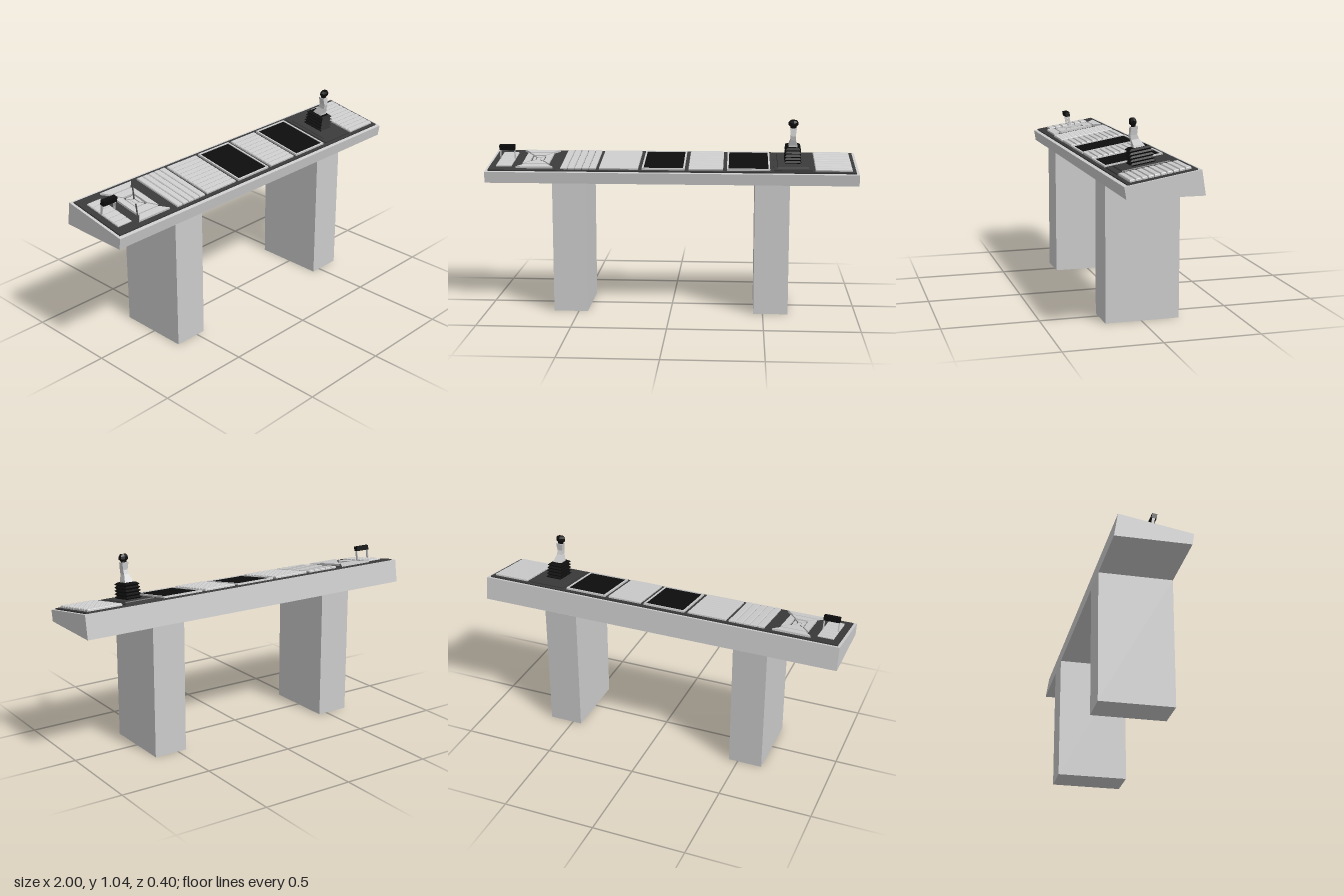
import * as THREE from 'three';

const mat = (color) => new THREE.MeshStandardMaterial({ color, flatShading: true });
const grey = mat(0xcccccc), dark = mat(0x3a3a3a), black = mat(0x0d0d0d);

function add(parent, name, geometry, material, x = 0, y = 0, z = 0) {
  const m = new THREE.Mesh(geometry, material);
  m.name = name;
  m.position.set(x, y, z);
  parent.add(m);
  return m;
}

// Closed loft through rectangular sections [y, halfX, halfZ, centreZ]
function loft(sections) {
  const rings = sections.map(([y, hx, hz, cz = 0]) =>
    [[hx, y, cz + hz], [hx, y, cz - hz], [-hx, y, cz - hz], [-hx, y, cz + hz]]);
  const p = [];
  const quad = (a, b, c, d) => p.push(...a, ...b, ...c, ...a, ...c, ...d);
  for (let k = 0; k < rings.length - 1; k++) {
    for (let i = 0; i < 4; i++) {
      const j = (i + 1) % 4;
      quad(rings[k][i], rings[k][j], rings[k + 1][j], rings[k + 1][i]);
    }
  }
  const [a, b, c, d] = rings[0];
  quad(d, c, b, a);
  quad(...rings[rings.length - 1]);
  const g = new THREE.BufferGeometry();
  g.setAttribute('position', new THREE.Float32BufferAttribute(p, 3));
  g.computeVertexNormals();
  return g;
}

// Flat slab from [x, z] corners, with an optional hole
function slab(points, height, hole) {
  const v = (list) => list.map(([x, z]) => new THREE.Vector2(x, -z));
  const s = new THREE.Shape(v(points));
  if (hole) s.holes.push(new THREE.Path(v(hole)));
  return new THREE.ExtrudeGeometry(s, { depth: height, bevelEnabled: false }).rotateX(-Math.PI / 2);
}
const rect = (hx, hz) => [[-hx, -hz], [-hx, hz], [hx, hz], [hx, -hz]];

// Rows of chamfered keys filling a rectangle, along x or along z
function keyBank(parent, name, x0, x1, z0, z1, count, alongX = true, top = 0.019) {
  const bank = new THREE.Group();
  bank.name = name;
  parent.add(bank);
  const pitch = (alongX ? z1 - z0 : x1 - x0) / count;
  const hx = alongX ? (x1 - x0) / 2 : pitch / 2 - 0.002;
  const hz = alongX ? pitch / 2 - 0.002 : (z1 - z0) / 2;
  const geo = loft([[0, hx, hz], [top - 0.004, hx, hz], [top, hx - 0.003, hz - 0.003]]);
  for (let i = 0; i < count; i++) {
    const t = (i + 0.5) * pitch;
    add(bank, 'key', geo, grey, alongX ? (x0 + x1) / 2 : x0 + t, 0, alongX ? z0 + t : (z0 + z1) / 2);
  }
}

// Black display in a thin raised frame
function screen(parent, x0, x1) {
  const g = new THREE.Group();
  g.name = 'screen';
  g.position.set((x0 + x1) / 2, 0, 0.01);
  parent.add(g);
  const hx = (x1 - x0) / 2, hz = 0.155;
  add(g, 'screenFrame', slab(rect(hx, hz), 0.017, rect(hx - 0.009, hz - 0.009)), grey);
  add(g, 'screenGlass', new THREE.BoxGeometry(2 * hx - 0.016, 0.014, 2 * hz - 0.016), black, 0, 0.006, 0);
}

// Trapezoid keys between two nested rectangles
function keyRing(parent, [ox, oz], [ix, iz], height, sides) {
  const gap = 0.006;
  const shapes = {
    front: [[-ox + gap, oz], [ox - gap, oz], [ix - gap, iz], [-ix + gap, iz]],
    back: [[-ox + gap, -oz], [-ix + gap, -iz], [ix - gap, -iz], [ox - gap, -oz]],
    left: [[ox, oz - gap], [ox, -oz + gap], [ix, -iz + gap], [ix, iz - gap]],
    right: [[-ox, -oz + gap], [-ox, oz - gap], [-ix, iz - gap], [-ix, -iz + gap]],
  };
  for (const s of sides) add(parent, s + 'PadKey', slab(shapes[s], height), grey);
}

export function createModel() {
  const model = new THREE.Group();
  model.name = 'controlDesk';

  // Wedge-shaped desk body, cross-section swept along x
  const section = [[-0.19, 0.705], [0.2, 0.705], [0.18, 0.83], [-0.2, 0.765]];
  const body = new THREE.ExtrudeGeometry(
    new THREE.Shape(section.map(([x, y]) => new THREE.Vector2(x, y))), { depth: 2, bevelEnabled: false });
  body.translate(0, 0, -1).rotateY(Math.PI / 2);
  add(model, 'deskBody', body, grey);

  // Two slab legs
  for (const s of [-1, 1])
    add(model, s > 0 ? 'leftLeg' : 'rightLeg', new THREE.BoxGeometry(0.185, 0.706, 0.39), grey, s * 0.5425, 0.353, -0.005);

  // Sloped control surface
  const deck = new THREE.Group();
  deck.name = 'controlSurface';
  deck.position.set(0, 0.799, 0);
  deck.rotation.x = Math.atan2(0.065, 0.38);
  model.add(deck);
  add(deck, 'deckPanel', new THREE.BoxGeometry(1.97, 0.016, 0.35), dark, 0, -0.001, 0.008);

  // Key banks and screens
  keyBank(deck, 'stripBank', -0.595, -0.4, -0.145, 0.165, 5, false);
  for (const [x0, x1] of [[-0.385, -0.175], [0.095, 0.28], [0.77, 0.965]])
    keyBank(deck, 'keyBank', x0, x1, -0.145, 0.165, 10);
  screen(deck, -0.155, 0.075);
  screen(deck, 0.3, 0.53);

  // Lever with a T-shaped grip on a ribbed plate
  const lever = new THREE.Group();
  lever.name = 'slideLever';
  deck.add(lever);
  keyBank(lever, 'leverPlate', -0.95, -0.865, -0.11, 0.13, 6, true, 0.016);
  for (const x of [-0.947, -0.868])
    add(lever, 'leverArm', new THREE.BoxGeometry(0.005, 0.075, 0.014), grey, x, 0.038, 0);
  add(lever, 'leverGrip', new THREE.BoxGeometry(0.085, 0.027, 0.026), black, -0.9075, 0.077, 0.002);

  // Direction pad of nested key rings
  const pad = new THREE.Group();
  pad.name = 'directionPad';
  pad.position.set(-0.737, 0, 0.006);
  deck.add(pad);
  const all = ['front', 'back', 'left', 'right'];
  keyRing(pad, [0.107, 0.148], [0.07, 0.106], 0.018, ['front', 'back']);
  keyRing(pad, [0.072, 0.1], [0.038, 0.054], 0.018, all);
  keyRing(pad, [0.03, 0.044], [0.014, 0.022], 0.014, all);
  add(pad, 'padCentre', loft([[0, 0.01, 0.017], [0.012, 0.01, 0.017]]), grey);

  // Joystick: stepped plate, bellows boot, stem and knob
  const stick = new THREE.Group();
  stick.name = 'joystick';
  stick.position.set(0.653, 0, 0.01);
  deck.add(stick);
  add(stick, 'joystickPlate', loft([[0, 0.103, 0.155], [0.013, 0.103, 0.155]]), dark);
  add(stick, 'joystickStep', loft([[0.012, 0.085, 0.125], [0.018, 0.082, 0.122]]), dark);
  const folds = [];
  for (let i = 0; i < 5; i++) {
    const y = 0.016 + i * 0.017, f = 1 - i * 0.02;
    folds.push([y, 0.037 * f, 0.055 * f], [y + 0.0085, 0.045 * f, 0.066 * f]);
  }
  folds.push([0.102, 0.03, 0.045]);
  add(stick, 'joystickBoot', loft(folds), black);
  add(stick, 'joystickStem', loft([
    [0.098, 0.025, 0.03, 0.0], [0.112, 0.022, 0.026, 0.002], [0.142, 0.013, 0.02, 0.011],
    [0.165, 0.013, 0.018, 0.013], [0.204, 0.018, 0.017, 0.0],
  ].map(([y, hx, hz, cz]) => [y, hx, hz, cz + (y - 0.098) * 0.06])), grey);
  const knob = new THREE.LatheGeometry([[0, 0], [0.016, 0], [0.017, 0.012], [0.027, 0.02], [0.027, 0.034], [0.018, 0.046], [0, 0.046]]
    .map(([r, y]) => new THREE.Vector2(r, y)), 8);
  add(stick, 'joystickKnob', knob.scale(1, 1, 0.7), black, 0, 0.2, 0.008);

  return model;
}
